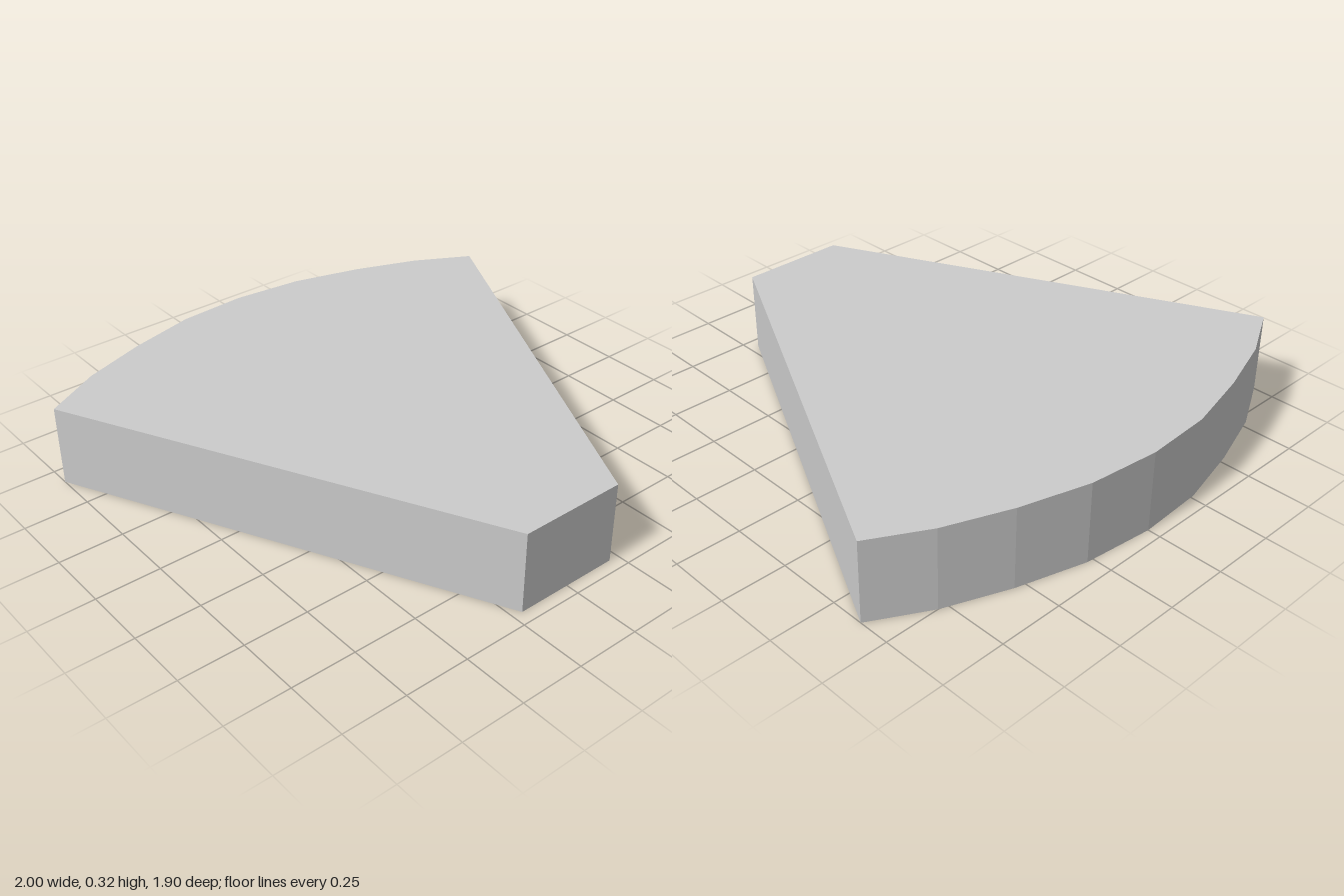
import * as THREE from 'three';

export function createModel() {
  const group = new THREE.Group();

  // Plan outline as [x, z]: narrow front edge, then the faceted curved back
  const outline = [
    [-0.21, 0.95], [0.21, 0.95],
    [1, -0.63], [0.785, -0.75], [0.54, -0.845], [0.275, -0.92],
    [0, -0.95],
    [-0.265, -0.935], [-0.53, -0.87], [-0.78, -0.785], [-1, -0.665],
  ];
  const shape = new THREE.Shape(outline.map(([x, z]) => new THREE.Vector2(x, -z)));

  // Flat wedge slab, extruded upward from the ground
  const geometry = new THREE.ExtrudeGeometry(shape, { depth: 0.32, bevelEnabled: false });
  geometry.rotateX(-Math.PI / 2);

  const slab = new THREE.Mesh(
    geometry,
    new THREE.MeshStandardMaterial({ color: 0xcccccc, flatShading: true })
  );
  slab.name = 'wedgeSlab';
  group.add(slab);
  return group;
}
